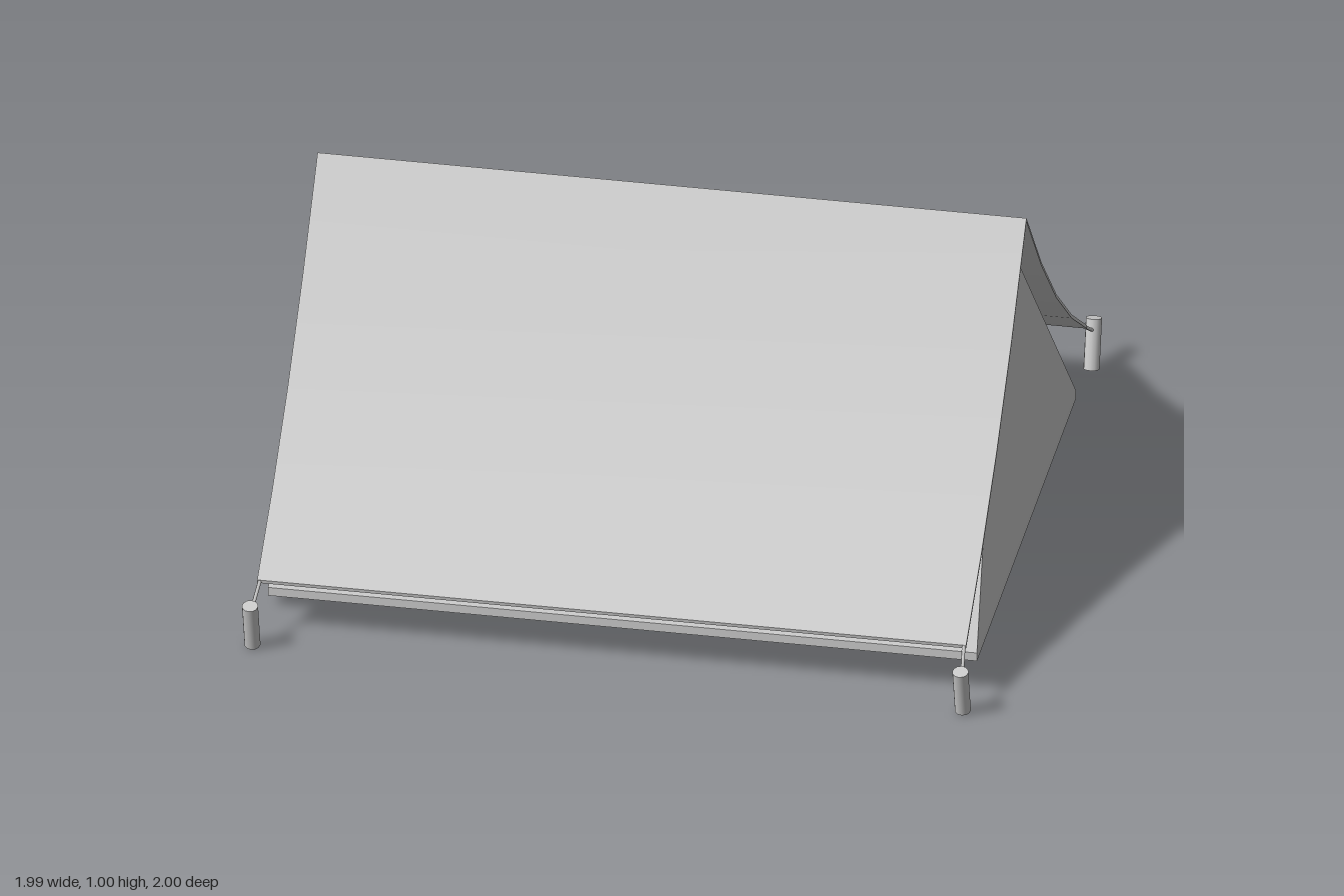
import * as THREE from 'three';
import { toCreasedNormals } from 'three/addons/utils/BufferGeometryUtils.js';

const HALF = 0.97;      // half length along the ridge
const BASE = 0.725;     // half width of the inner tent
const FLOOR = 0.06;     // top of the floor slab
const APEX = 0.975;     // inner ridge height
const INSET = 0.07;     // how far the end walls lean in at the ridge

export function createModel() {
  const group = new THREE.Group();
  const solid = new THREE.MeshStandardMaterial({ color: 0xcccccc });
  const cloth = new THREE.MeshStandardMaterial({ color: 0xcccccc, side: THREE.DoubleSide });

  const add = (name, geometry, material = solid) => {
    const mesh = new THREE.Mesh(geometry, material);
    mesh.name = name;
    group.add(mesh);
    return mesh;
  };

  // Flat outline whose vertices are leaned into place by a rule (u, y) -> [x, y, z]
  const panel = (name, points, rule) => {
    const shape = new THREE.Shape(points.map(([u, y]) => new THREE.Vector2(u, y)));
    const geo = new THREE.ShapeGeometry(shape);
    const pos = geo.attributes.position;
    for (let i = 0; i < pos.count; i++) pos.setXYZ(i, ...rule(pos.getX(i), pos.getY(i)));
    geo.computeVertexNormals();
    return add(name, geo, cloth);
  };
  const rise = (y) => (y - FLOOR) / (APEX - FLOOR);

  // Floor slab
  const floor = add('floor', new THREE.BoxGeometry(HALF * 2, 0.025, BASE * 2));
  floor.position.y = FLOOR - 0.0125;

  // Inner side walls
  for (const s of [1, -1]) {
    panel(s > 0 ? 'frontInnerWall' : 'backInnerWall',
      [[-HALF * s, FLOOR], [HALF * s, FLOOR], [(HALF - INSET) * s, APEX], [-(HALF - INSET) * s, APEX]],
      (x, y) => [x, y, s * BASE * (1 - rise(y))]);
  }

  // Closed end wall, and end wall with a triangular doorway
  panel('closedEndWall', [[-BASE, FLOOR], [BASE, FLOOR], [0, APEX]],
    (u, y) => [HALF - INSET * rise(y), y, -u]);
  panel('doorEndWall',
    [[-BASE, FLOOR], [-0.31, FLOOR], [0, 0.9], [0.31, FLOOR], [BASE, FLOOR], [0, APEX]],
    (u, y) => [-HALF + INSET * rise(y), y, u]);

  // Sagging fly sheet: a thin profile extruded along the ridge
  const half = [[0.885, 0.173], [0.665, 0.328], [0.44, 0.517], [0.22, 0.74]];
  const top = [...half, [0, 1], ...half.map(([z, y]) => [-z, y]).reverse()];
  const under = top.map(([z, y]) => [z * 0.998, y - 0.01]).reverse();
  const profile = new THREE.Shape([...top, ...under].map(([z, y]) => new THREE.Vector2(z, y)));
  const fly = new THREE.ExtrudeGeometry(profile, { depth: HALF * 2, bevelEnabled: false });
  fly.translate(0, 0, -HALF).rotateY(-Math.PI / 2);
  add('flySheet', toCreasedNormals(fly, 0.4));

  // Pegs and guy ropes at the four corners
  const pegGeo = new THREE.CylinderGeometry(0.022, 0.022, 0.143, 12);
  for (const sx of [1, -1]) {
    for (const sz of [1, -1]) {
      const peg = add('peg', pegGeo);
      peg.position.set(sx * 0.972, 0.075, sz * 0.96);
      peg.rotation.x = sz * 0.26;

      const path = new THREE.LineCurve3(
        new THREE.Vector3(sx * 0.963, 0.17, sz * 0.88),
        new THREE.Vector3(sx * 0.972, 0.118, sz * 0.955));
      add('guyRope', new THREE.TubeGeometry(path, 1, 0.005, 6));
    }
  }
  return group;
}
